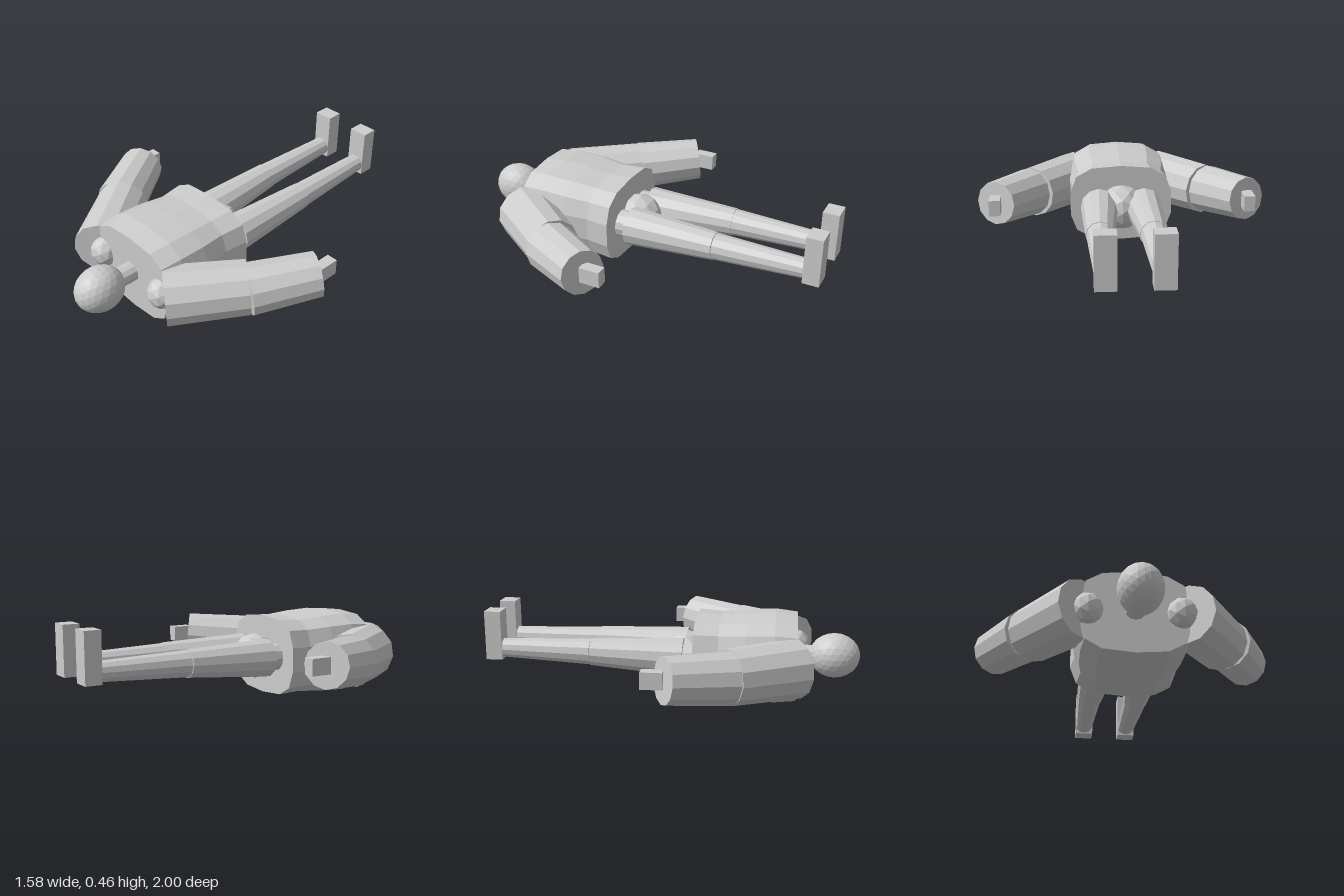
import * as THREE from 'three';

const V = (x, y, z) => new THREE.Vector3(x, y, z);

// Faceted normals for the low-poly look
function facet(geo) {
  const g = geo.index ? geo.toNonIndexed() : geo;
  g.computeVertexNormals();
  return g;
}

// Closed body lofted through rings [z, halfWidth, halfHeight, centreY], front to back
function loft(rings, profile) {
  const n = profile.length, pos = [], idx = [];
  for (const [z, rx, ry, cy] of rings)
    for (const [px, py] of profile) pos.push(px * rx, cy + py * ry, z);
  const last = rings.length - 1;
  for (const r of [rings[0], rings[last]]) pos.push(0, r[3], r[0]);
  const front = n * rings.length, back = front + 1;
  for (let j = 0; j < n; j++) {
    const k = (j + 1) % n;
    for (let i = 0; i < last; i++) {
      const a = i * n, b = a + n;
      idx.push(a + j, b + j, a + k, a + k, b + j, b + k);
    }
    idx.push(front, j, k, back, last * n + k, last * n + j);
  }
  const g = new THREE.BufferGeometry();
  g.setAttribute('position', new THREE.Float32BufferAttribute(pos, 3));
  g.setIndex(idx);
  return facet(g);
}

export function createModel() {
  const model = new THREE.Group();
  model.name = 'lyingFigure';
  const grey = new THREE.MeshStandardMaterial({ color: 0xcccccc });
  grey.name = 'plain grey';

  const add = (name, geo, at = V(0, 0, 0)) => {
    const mesh = new THREE.Mesh(facet(geo), grey);
    mesh.name = name;
    mesh.position.copy(at);
    model.add(mesh);
    return mesh;
  };

  // Tapered limb segment from a to b
  const limb = (name, a, b, ra, rb, sides = 12) => {
    const d = b.clone().sub(a);
    const mesh = add(name, new THREE.CylinderGeometry(rb, ra, d.length(), sides),
      a.clone().add(b).multiplyScalar(0.5));
    mesh.quaternion.setFromUnitVectors(V(0, 1, 0), d.normalize());
  };
  const ball = (name, at, rx, ry, rz, detail) =>
    add(name, new THREE.IcosahedronGeometry(1, detail).scale(rx, ry, rz), at);

  // Torso: flattened, slightly waisted barrel
  const quarter = [[0.58, 0.94], [0.88, 0.72], [1, 0.3]];
  const flip = (sx, sy) => quarter.map(([x, y]) => [x * sx, y * sy]);
  const profile = [[0, 1], ...flip(-1, 1), ...flip(-1, -1).reverse(),
    [0, -1], ...flip(1, -1), ...flip(1, 1).reverse()];
  add('torso', loft([
    [0.665, 0.275, 0.218, 0.232],
    [0.55, 0.29, 0.23, 0.233],
    [0.4, 0.285, 0.223, 0.233],
    [0.26, 0.266, 0.21, 0.233],
    [0.13, 0.282, 0.215, 0.235],
  ], profile));

  // Head, neck and pelvis
  ball('head', V(0, 0.24, 0.865), 0.112, 0.12, 0.135, 3);
  limb('neck', V(0, 0.24, 0.64), V(0, 0.24, 0.78), 0.053, 0.053);
  ball('pelvis', V(0, 0.23, 0.075), 0.125, 0.125, 0.125, 1);

  for (const [side, s] of [['left', 1], ['right', -1]]) {
    // Arm
    ball(side + 'Shoulder', V(s * 0.23, 0.235, 0.65), 0.08, 0.087, 0.085, 1);
    limb(side + 'UpperArm', V(s * 0.25, 0.233, 0.66), V(s * 0.495, 0.247, 0.33), 0.155, 0.142);
    limb(side + 'Forearm', V(s * 0.508, 0.246, 0.342), V(s * 0.688, 0.278, 0.038), 0.136, 0.119);
    add(side + 'Hand', new THREE.BoxGeometry(0.06, 0.085, 0.11), V(s * 0.688, 0.282, -0.015));

    // Leg
    limb(side + 'Hip', V(s * 0.118, 0.235, 0.14), V(s * 0.118, 0.235, 0.05), 0.075, 0.075);
    limb(side + 'Thigh', V(s * 0.123, 0.235, 0.065), V(s * 0.136, 0.251, -0.43), 0.104, 0.074);
    limb(side + 'Shin', V(s * 0.136, 0.251, -0.43), V(s * 0.133, 0.257, -0.915), 0.071, 0.052);
    add(side + 'Foot', new THREE.BoxGeometry(0.104, 0.265, 0.088), V(s * 0.133, 0.333, -0.956));
  }
  return model;
}
